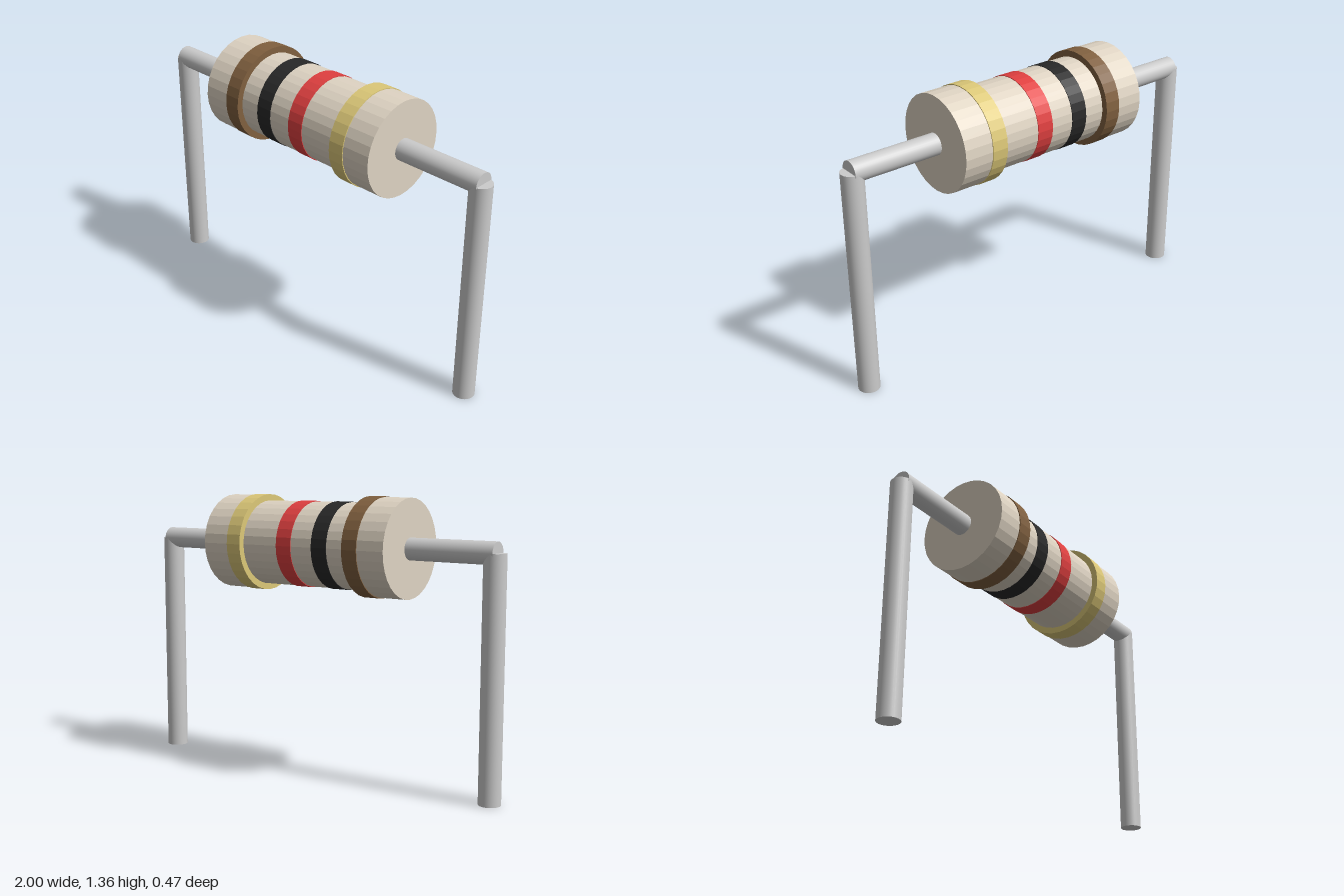
import * as THREE from 'three';

const AXIS_Y = 1.122;
const SIDES = 32;

export function createModel() {
  const group = new THREE.Group();

  const add = (name, geometry, material, x, y) => {
    const mesh = new THREE.Mesh(geometry, material);
    mesh.name = name;
    mesh.position.set(x, y, 0);
    group.add(mesh);
    return mesh;
  };
  const paint = (color) => new THREE.MeshStandardMaterial({ color, flatShading: true });

  // Ceramic body: wide end caps and a narrower waist, turned around the x axis
  const profile = [
    [0, -0.52], [0.232, -0.52], [0.232, -0.31], [0.205, -0.31],
    [0.205, 0.31], [0.232, 0.31], [0.232, 0.52], [0, 0.52],
  ].map(([r, y]) => new THREE.Vector2(r, y));
  const body = new THREE.LatheGeometry(profile, SIDES).rotateZ(-Math.PI / 2);
  add('body', body, paint(0xdfd4c3), 0, AXIS_Y);

  // Colour bands: name, colour, start, end, radius
  const bands = [
    ['brownBand', 0x80603f, -0.38, -0.3, 0.236],
    ['blackBand', 0x282828, -0.195, -0.11, 0.208],
    ['redBand', 0xe04040, 0.01, 0.095, 0.208],
    ['goldBand', 0xdcc878, 0.295, 0.375, 0.236],
  ];
  for (const [name, color, start, end, radius] of bands) {
    const band = new THREE.CylinderGeometry(radius, radius, end - start, SIDES).rotateZ(-Math.PI / 2);
    add(name, band, paint(color), (start + end) / 2, AXIS_Y);
  }

  // Wire leads: a horizontal piece from the body and a vertical leg on each side
  const wire = new THREE.MeshStandardMaterial({ color: 0xcccccc });
  const leadLength = 0.46;
  const lead = new THREE.CylinderGeometry(0.052, 0.052, leadLength, SIDES).rotateZ(-Math.PI / 2);
  const leg = new THREE.CylinderGeometry(0.052, 0.052, AXIS_Y, SIDES);
  for (const [side, s] of [['left', 1], ['right', -1]]) {
    add(side + 'Lead', lead, wire, s * (0.96 - leadLength / 2), AXIS_Y);
    add(side + 'Leg', leg, wire, s * 0.948, AXIS_Y / 2);
  }

  return group;
}
